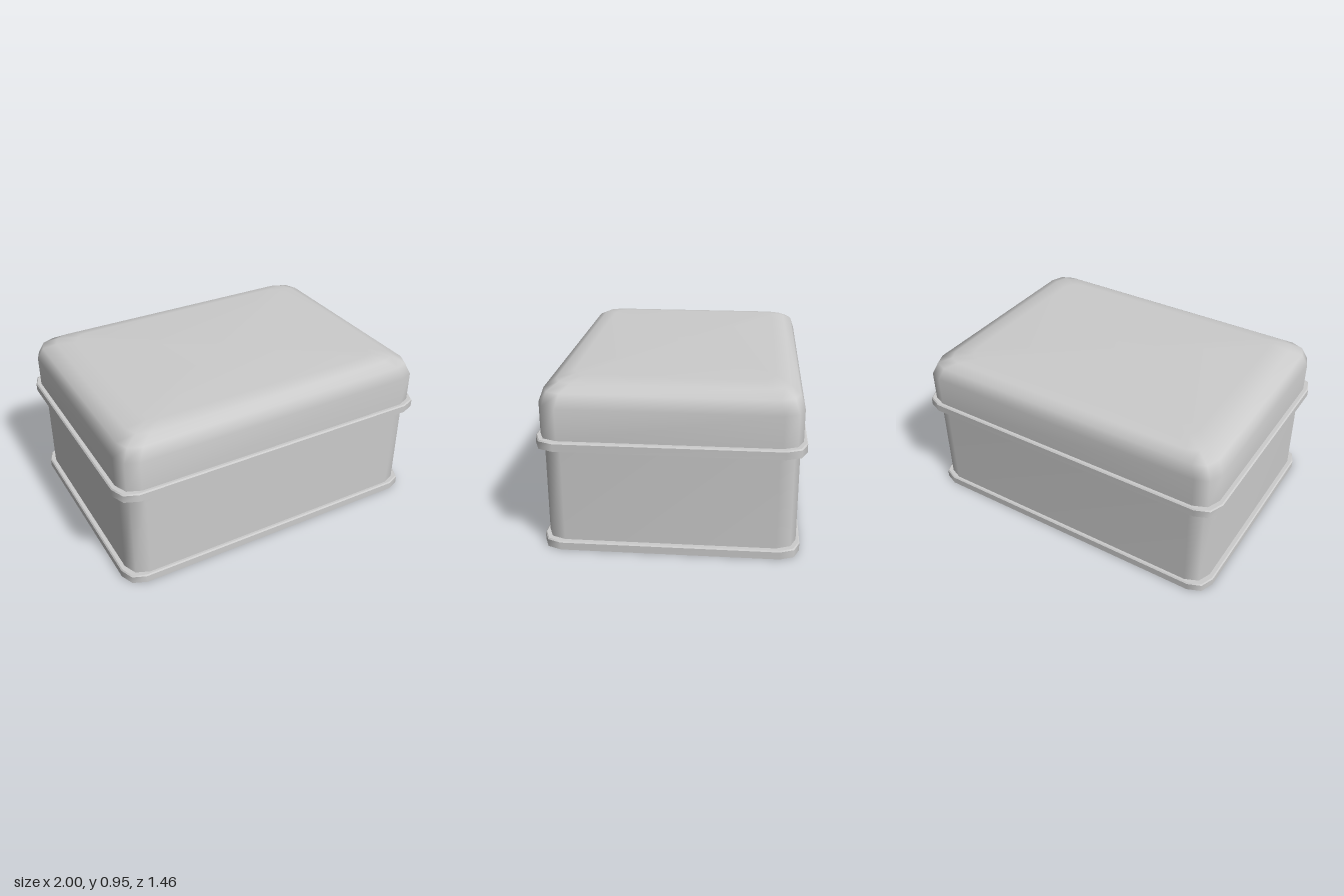
import * as THREE from 'three';

const CORNER_STEPS = 2;

// Points [x, z] around a rounded rectangle with half sizes w, d and corner radius r
function outline(w, d, r) {
  const points = [];
  [[1, -1], [-1, -1], [-1, 1], [1, 1]].forEach(([sx, sz], q) => {
    for (let i = 0; i <= CORNER_STEPS; i++) {
      const a = (q + i / CORNER_STEPS) * Math.PI / 2;
      points.push([sx * (w - r) + r * Math.cos(a), sz * (d - r) - r * Math.sin(a)]);
    }
  });
  return points;
}

// Joins stacked outlines into a solid. Each band is a list of rings [w, d, r, y],
// smooth inside the band and sharp where it meets the next one.
function loft(name, bands, material) {
  const positions = [], index = [];
  for (const band of bands) {
    const start = positions.length / 3;
    let n = 0;
    for (const [w, d, r, y] of band) {
      const points = outline(w, d, r);
      n = points.length;
      for (const [x, z] of points) positions.push(x, y, z);
    }
    for (let k = 0; k < band.length - 1; k++) {
      for (let i = 0; i < n; i++) {
        const j = (i + 1) % n, low = start + k * n, high = low + n;
        index.push(low + i, low + j, high + j, low + i, high + j, high + i);
      }
    }
  }
  const geometry = new THREE.BufferGeometry();
  geometry.setAttribute('position', new THREE.Float32BufferAttribute(positions, 3));
  geometry.setIndex(index);
  geometry.computeVertexNormals(); // area weighted, so the large panels stay flat
  const mesh = new THREE.Mesh(geometry, material);
  mesh.name = name;
  return mesh;
}

// Flat slab with a small bevel on its upper edge
function slab(name, w, d, r, y0, y1, bevel, material) {
  const foot = [w, d, r, y0], shoulder = [w, d, r, y1 - bevel];
  const top = [w - bevel, d - bevel, r - bevel, y1];
  return loft(name, [
    [[0, 0, 0, y0], foot],
    [foot, shoulder],
    [shoulder, top],
    [top, [0, 0, 0, y1]],
  ], material);
}

export function createModel() {
  const group = new THREE.Group();
  group.name = 'liddedBox';
  const grey = new THREE.MeshStandardMaterial({ color: 0xcccccc });

  // Plinth and straight walls
  group.add(slab('base', 0.98, 0.715, 0.11, 0, 0.05, 0.007, grey));
  group.add(loft('body', [[[0.95, 0.695, 0.11, 0.045], [0.95, 0.695, 0.11, 0.605]]], grey));

  // Projecting band under the lid
  group.add(slab('rim', 1, 0.73, 0.115, 0.6, 0.65, 0.007, grey));

  // Domed lid: [scale, height], shrinking towards the flat top
  const dome = [[1, 0.645], [1, 0.83], [0.965, 0.903], [0.888, 0.936], [0.775, 0.954], [0, 0.954]];
  const rings = dome.map(([s, y]) => [0.972 * s, 0.709 * s, 0.11 * s, y]);
  group.add(loft('lid', [rings], grey));

  return group;
}
